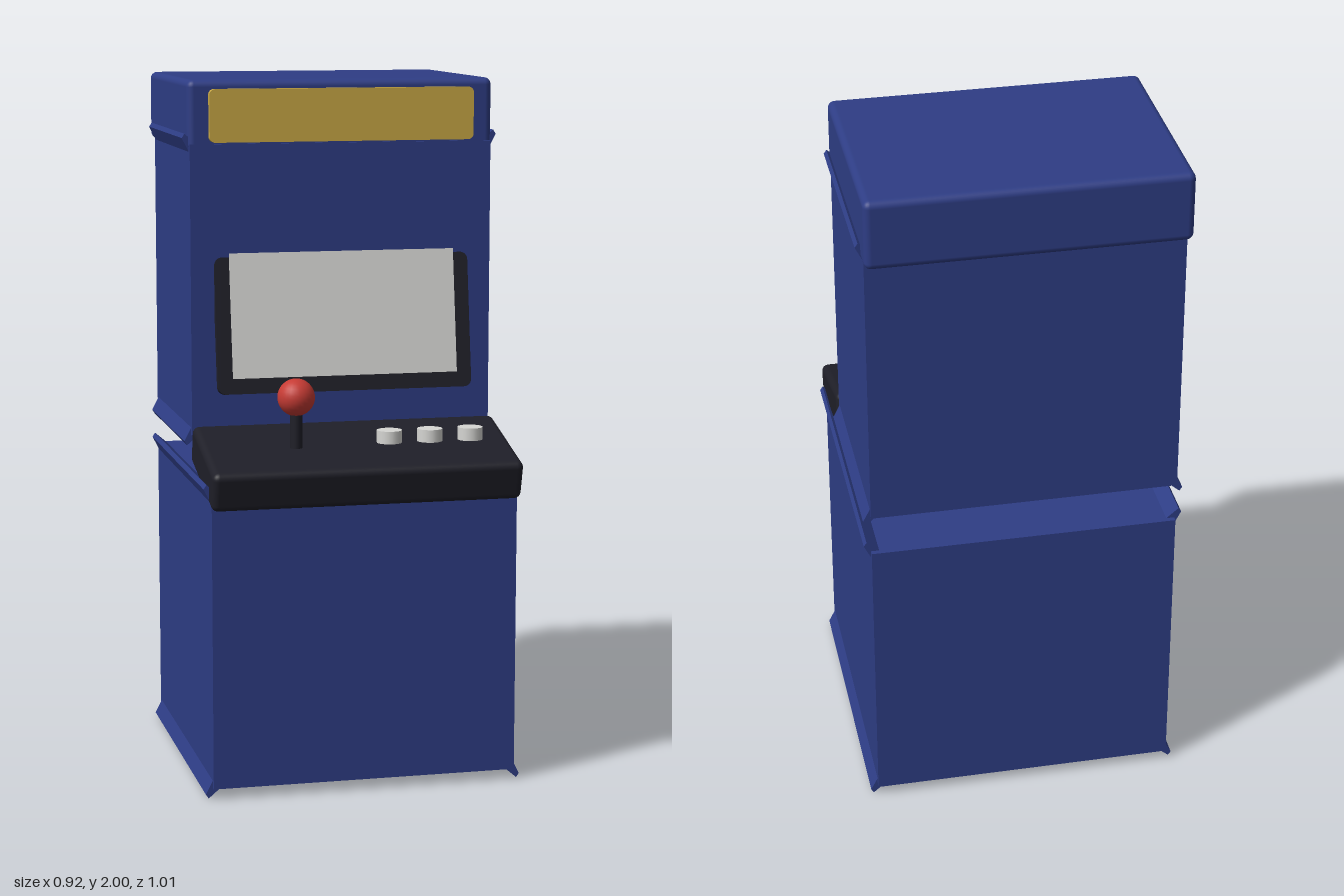
import * as THREE from 'three';
import { RoundedBoxGeometry } from 'three/addons/geometries/RoundedBoxGeometry.js';

const material = (name, color) => {
  const m = new THREE.MeshStandardMaterial({ color });
  m.name = name;
  return m;
};

export function createModel() {
  const group = new THREE.Group();
  const blue = material('cabinet blue', 0x2e3d85);
  const dark = material('dark trim', 0x1f1f28);
  const gold = material('marquee gold', 0xcaa945);
  const pale = material('pale grey', 0xd6d6d3);
  const red = material('joystick red', 0xc63b34);

  const add = (name, geometry, mat, x, y, z, tilt = 0) => {
    const mesh = new THREE.Mesh(geometry, mat);
    mesh.name = name;
    mesh.position.set(x, y, z);
    mesh.rotation.x = tilt;
    group.add(mesh);
    return mesh;
  };

  // Flat plate with rounded corners, centred on its own middle
  const plate = (w, h, d, r) => {
    const s = new THREE.Shape();
    const x = w / 2, y = h / 2;
    s.moveTo(-x + r, -y);
    s.absarc(x - r, -y + r, r, -Math.PI / 2, 0);
    s.absarc(x - r, y - r, r, 0, Math.PI / 2);
    s.absarc(-x + r, y - r, r, Math.PI / 2, Math.PI);
    s.absarc(-x + r, -y + r, r, Math.PI, Math.PI * 1.5);
    return new THREE.ExtrudeGeometry(s, { depth: d, bevelEnabled: false, curveSegments: 5 }).translate(0, 0, -d / 2);
  };

  // Cabinet block with thin flared lips along its long side edges
  const cabinet = (name, y0, y1, z0, z1) => {
    const h = y1 - y0 - 0.06, cy = (y0 + y1) / 2, cz = (z0 + z1) / 2;
    add(name, new THREE.BoxGeometry(0.88, h, z1 - z0), blue, 0, cy, cz);
    const depth = z1 - z0 - 0.03;
    for (const sx of [-1, 1]) for (const sy of [-1, 1]) {
      const pts = [[0.412, h / 2 - 0.004], [0.438, h / 2 - 0.025], [0.46, h / 2 + 0.018], [0.452, h / 2 + 0.03]]
        .map(([x, y]) => new THREE.Vector2(x * sx, y * sy));
      const lip = new THREE.ExtrudeGeometry(new THREE.Shape(pts), { depth, bevelEnabled: false });
      add(name + 'Lip', lip, blue, 0, cy, cz - depth / 2);
    }
  };
  cabinet('lowerCabinet', 0, 0.9, -0.45, 0.45);
  cabinet('upperCabinet', 0.96, 1.85, -0.45, 0.15);

  // Header and marquee
  add('header', new RoundedBoxGeometry(0.89, 0.2, 0.65, 3, 0.02), blue, 0, 1.9, -0.18);
  add('marquee', plate(0.77, 0.15, 0.06, 0.016), gold, 0, 1.9, 0.135);

  // Screen and bezel, leaning back into the cabinet
  const lean = -0.15;
  add('screenBezel', plate(0.745, 0.39, 0.025, 0.022), dark, 0, 1.305, 0.167, lean);
  add('screen', new THREE.BoxGeometry(0.66, 0.36, 0.008), pale, 0, 1.335, 0.1725, lean);

  // Sloping control panel
  add('controlPanel', new RoundedBoxGeometry(0.89, 0.115, 0.345, 3, 0.02), dark, 0, 0.926, 0.328, 0.26);

  // Joystick
  add('joystickShaft', new THREE.CylinderGeometry(0.018, 0.018, 0.13, 16), dark, -0.18, 1.045, 0.356);
  add('joystickBall', new THREE.SphereGeometry(0.053, 24, 16), red, -0.18, 1.124, 0.356);

  // Buttons
  for (const x of [0.09, 0.208, 0.327]) {
    add('button', new THREE.CylinderGeometry(0.036, 0.036, 0.036, 20), pale, x, 1.003, 0.356);
  }
  return group;
}
